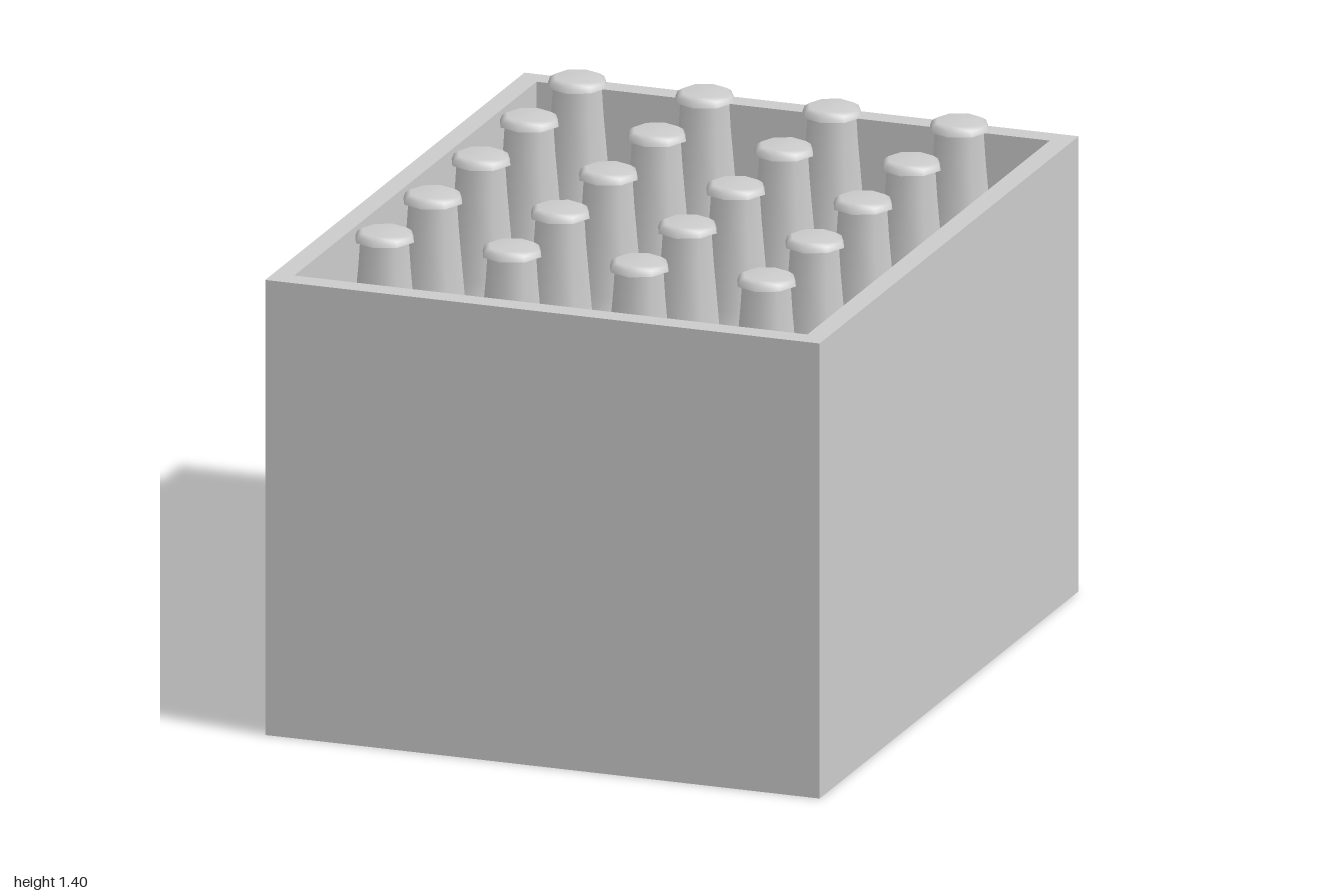
import * as THREE from 'three';

const material = new THREE.MeshStandardMaterial({ color: 0xcccccc });
const SIDES = 8;

function lathe(points, name) {
  const profile = points.map(([r, y]) => new THREE.Vector2(r, y));
  const mesh = new THREE.Mesh(new THREE.LatheGeometry(profile, SIDES), material);
  mesh.name = name;
  return mesh;
}

function rectangle(path, x, z) {
  path.moveTo(-x, -z);
  path.lineTo(x, -z);
  path.lineTo(x, z);
  path.lineTo(-x, z);
  path.closePath();
  return path;
}

// Open-topped crate: a ring of walls around a thin floor
function createCrate() {
  const crate = new THREE.Group();
  crate.name = 'crate';

  const outline = rectangle(new THREE.Shape(), 0.81, 1);
  outline.holes.push(rectangle(new THREE.Path(), 0.75, 0.935));
  const wallGeometry = new THREE.ExtrudeGeometry(outline, { depth: 1.305, bevelEnabled: false });
  wallGeometry.rotateX(-Math.PI / 2);
  const walls = new THREE.Mesh(wallGeometry, material);
  walls.name = 'crateWalls';

  const floor = new THREE.Mesh(new THREE.BoxGeometry(1.5, 0.06, 1.87), material);
  floor.name = 'crateFloor';
  floor.position.y = 0.03;

  crate.add(walls, floor);
  return crate;
}

// Octagonal bottle with a sloping shoulder, tapered neck and crown cap
function createBottle() {
  const bottle = new THREE.Group();
  bottle.name = 'bottle';
  bottle.add(
    lathe([[0, 0.06], [0.185, 0.06], [0.185, 0.12], [0.185, 0.78], [0.165, 0.86],
      [0.115, 0.97], [0.098, 1.06], [0.076, 1.3], [0.071, 1.375]], 'bottleGlass'),
    lathe([[0.068, 1.375], [0.086, 1.374]], 'capUnderside'),
    lathe([[0.086, 1.374], [0.08, 1.39], [0.066, 1.399], [0, 1.401]], 'cap'),
  );
  return bottle;
}

export function createModel() {
  const model = new THREE.Group();
  model.name = 'bottleCrate';
  model.add(createCrate());

  // Four columns by five rows of bottles
  const bottle = createBottle();
  const spacing = 0.372;
  for (let column = 0; column < 4; column++) {
    for (let row = 0; row < 5; row++) {
      const copy = bottle.clone();
      copy.position.set((column - 1.5) * spacing, 0, (row - 2) * spacing);
      model.add(copy);
    }
  }
  return model;
}
